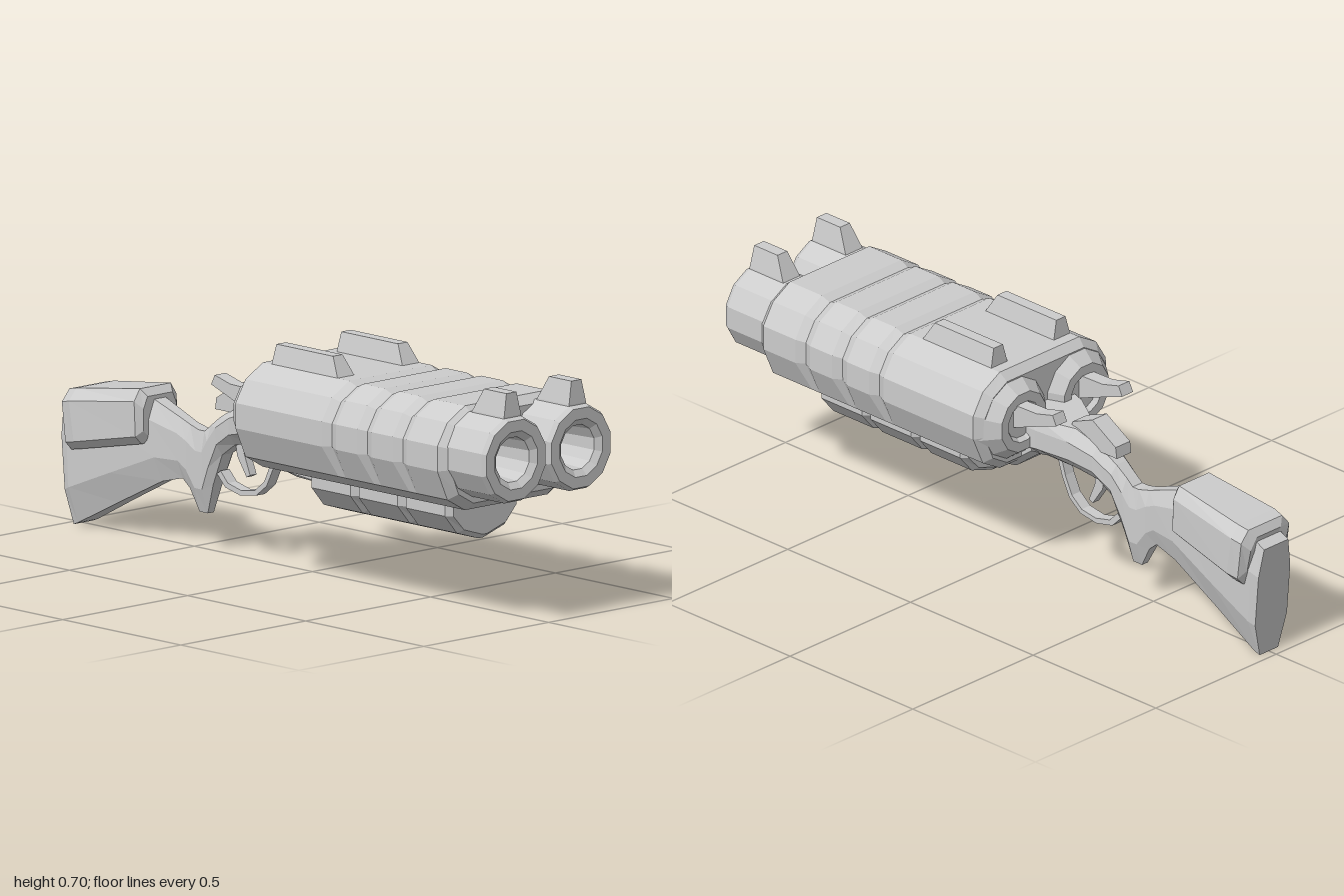
import * as THREE from 'three';

const material = new THREE.MeshStandardMaterial({ color: 0xcccccc, flatShading: true });

// Skin a list of equal-length rings of [x, y, z] points and close both ends.
function loft(rings) {
  const tris = [];
  const n = rings[0].length;
  for (let i = 0; i < rings.length - 1; i++) {
    for (let j = 0; j < n; j++) {
      const k = (j + 1) % n;
      const [a, b, c, d] = [rings[i][j], rings[i][k], rings[i + 1][k], rings[i + 1][j]];
      tris.push([a, b, c], [a, c, d]);
    }
  }
  const cap = (ring, flip) => {
    const mid = [0, 1, 2].map((t) => ring.reduce((s, p) => s + p[t], 0) / n);
    ring.forEach((p, j) => {
      const q = ring[(j + 1) % n];
      tris.push(flip ? [mid, q, p] : [mid, p, q]);
    });
  };
  cap(rings[0], true);
  cap(rings[rings.length - 1], false);
  // Turn the faces outward whichever way the rings run
  const v = tris.map((t) => t.map((p) => new THREE.Vector3(...p)));
  const volume = v.reduce((s, [a, b, c]) => s + a.dot(b.clone().cross(c)), 0);
  if (volume < 0) tris.forEach((t) => t.reverse());
  const geometry = new THREE.BufferGeometry();
  geometry.setAttribute('position', new THREE.Float32BufferAttribute(tris.flat(2), 3));
  geometry.computeVertexNormals();
  return geometry;
}

// Close a right-hand outline (top to bottom) with its mirror image.
const mirrored = (half) => [...half, ...half.slice().reverse().map(([x, y, z]) => [-x, y, z])];

// Side profile of [z, y] points, extruded across x.
function plate(points, width) {
  const shape = new THREE.Shape(points.map((p) => new THREE.Vector2(...p)));
  const geometry = new THREE.ExtrudeGeometry(shape, { depth: width, bevelEnabled: false });
  return geometry.rotateY(-Math.PI / 2).translate(width / 2, 0, 0);
}

// Block tapering upward: each level is [y, halfWidth, zBack, zFront].
const taper = (...levels) => loft(levels.map(([y, w, z0, z1]) =>
  [[-w, y, z0], [w, y, z0], [w, y, z1], [-w, y, z1]]));

// Twelve-sided turned part along z from [radius, z] points.
const turned = (points) => new THREE.LatheGeometry(
  points.map((p) => new THREE.Vector2(...p)), 12, Math.PI / 12).rotateX(Math.PI / 2);

// Eight-sided stock section with separately placed top and bottom.
function stockRing([zTop, top, zBot, bot, w, topW = 0.5 * w, botW = 0.5 * w]) {
  const at = (x, t) => [x, top + (bot - top) * t, zTop + (zBot - zTop) * t];
  return mirrored([at(topW, 0), at(w, 0.25), at(w, 0.7), at(botW, 1)]);
}

export function createModel() {
  const group = new THREE.Group();
  const add = (name, geometry, x = 0) => {
    const mesh = new THREE.Mesh(geometry, material);
    mesh.name = name;
    mesh.position.x = x;
    group.add(mesh);
    return mesh;
  };

  // Twin-barrel shroud with three grooves over its upper half
  const outline = [[0.165, 0.64], [0.235, 0.6], [0.275, 0.535], [0.275, 0.46], [0.235, 0.37], [0.165, 0.33]];
  const shroudRing = (z, inset, upperOnly) => mirrored(outline.map(([x, y]) => {
    if (upperOnly && y < 0.45) return [x, y, z];
    const a = Math.atan2(y - 0.49, x - 0.13);
    return [x - inset * Math.cos(a), y - inset * Math.sin(a), z];
  }));
  const shroud = [shroudRing(0.85, 0.025), shroudRing(0.82, 0)];
  for (const z of [0.66, 0.51, 0.36]) {
    shroud.push(shroudRing(z + 0.03, 0), shroudRing(z, 0.014, true), shroudRing(z - 0.03, 0));
  }
  shroud.push(shroudRing(-0.035, 0), shroudRing(-0.06, 0.025));
  add('barrelShroud', loft(shroud));

  for (const [side, s] of [['left', 1], ['right', -1]]) {
    const x = 0.13 * s;
    // Muzzle with hollow bore, and the breech end
    const muzzle = turned([[0.13, 0.78], [0.13, 0.985], [0.122, 1], [0.088, 1],
      [0.068, 0.985], [0.057, 0.8], [0, 0.79]]);
    add(side + 'Barrel', muzzle, x).position.y = 0.5;
    const breech = turned([[0, -0.085], [0.055, -0.085], [0.065, -0.1], [0.095, -0.1], [0.145, -0.035], [0.13, 0]]);
    add(side + 'Breech', breech, x).position.y = 0.49;
    // Sights and hammer
    add(side + 'FrontSight', taper([0.6, 0.037, 0.835, 0.985], [0.63, 0.034, 0.85, 0.985],
      [0.698, 0.02, 0.885, 0.98]), x);
    add(side + 'RearSight', taper([0.63, 0.036, 0, 0.285], [0.698, 0.019, 0.005, 0.245]), x);
    add(side + 'Hammer', plate([[-0.07, 0.55], [-0.18, 0.553], [-0.245, 0.57], [-0.26, 0.54],
      [-0.19, 0.515], [-0.07, 0.47]], 0.045), x + 0.007 * s);
  }

  // Foregrip: three swollen segments
  const gripRing = (z, k) => mirrored([[0.143 * k, 0.345, z], [0.143 * k, 0.292, z],
    [0.095 * k, 0.33 - 0.095 * k, z], [0.01, 0.33 - 0.122 * k, z]]);
  const foregrip = [];
  for (const z of [0.63, 0.43, 0.23]) {
    foregrip.push(gripRing(z + 0.1, 0.88), gripRing(z + 0.082, 1),
      gripRing(z - 0.082, 1), gripRing(z - 0.1, 0.88));
  }
  add('foregrip', loft(foregrip));

  // Receiver underside
  add('receiver', loft([[0.15, 0.29, 0.13], [0, 0.29, 0.1], [-0.1, 0.365, 0.1]].map(([z, y, w]) =>
    mirrored([[w, 0.4, z], [w, y + 0.02, z], [w * 0.6, y, z]]))));

  // Neck, grip spur and butt in one sweep
  add('stock', loft([
    [-0.06, 0.5, -0.06, 0.35, 0.11, 0.1],
    [-0.12, 0.49, -0.12, 0.36, 0.102, 0.09],
    [-0.22, 0.475, -0.22, 0.35, 0.072],
    [-0.3, 0.445, -0.3, 0.335, 0.052],
    [-0.37, 0.405, -0.36, 0.295, 0.042],
    [-0.41, 0.375, -0.4, 0.2, 0.038],
    [-0.435, 0.355, -0.43, 0.11, 0.035, 0.02, 0.012],
    [-0.46, 0.355, -0.465, 0.11, 0.034, 0.02, 0.012],
    [-0.5, 0.365, -0.5, 0.175, 0.034],
    [-0.54, 0.38, -0.53, 0.2, 0.036],
    [-0.65, 0.42, -0.61, 0.18, 0.046],
    [-0.8, 0.4, -0.79, 0.09, 0.062],
    [-0.97, 0.37, -0.95, 0.008, 0.073, 0.05, 0.04],
    [-1, 0.355, -0.97, 0, 0.066, 0.05, 0.038],
  ].map(stockRing)));

  // Cheek pad wrapped over the butt
  const padRing = ([zTop, top, zBot, bot, w, topW]) => mirrored([[topW, top, zTop],
    [w, top - 0.035, zTop], [w, bot + 0.025, zBot], [w - 0.025, bot, zBot]]);
  add('cheekPad', loft([
    [-0.645, 0.43, -0.645, 0.305, 0.066, 0.05],
    [-0.665, 0.452, -0.66, 0.288, 0.085, 0.062],
    [-0.92, 0.418, -0.9, 0.24, 0.105, 0.075],
    [-0.955, 0.41, -0.94, 0.232, 0.1, 0.07],
    [-0.97, 0.385, -0.955, 0.255, 0.075, 0.05],
  ].map(padRing)));

  // Top lever
  add('topLever', plate([[-0.19, 0.46], [-0.2, 0.49], [-0.28, 0.522], [-0.375, 0.465],
    [-0.38, 0.43], [-0.3, 0.43]], 0.06));

  // Trigger guard: a thin strap following a curve
  const path = [[-0.12, 0.37], [-0.145, 0.29], [-0.175, 0.23], [-0.22, 0.195], [-0.285, 0.185],
    [-0.35, 0.2], [-0.385, 0.235]];
  const inner = path.map(([z, y]) => [z - (z + 0.26) * 0.12, y + (0.37 - y) * 0.085]);
  add('triggerGuard', plate([...path, ...inner.reverse()], 0.036));
  add('trigger', plate([[-0.27, 0.36], [-0.275, 0.31], [-0.25, 0.25], [-0.265, 0.242],
    [-0.305, 0.3], [-0.315, 0.36]], 0.026));

  return group;
}
